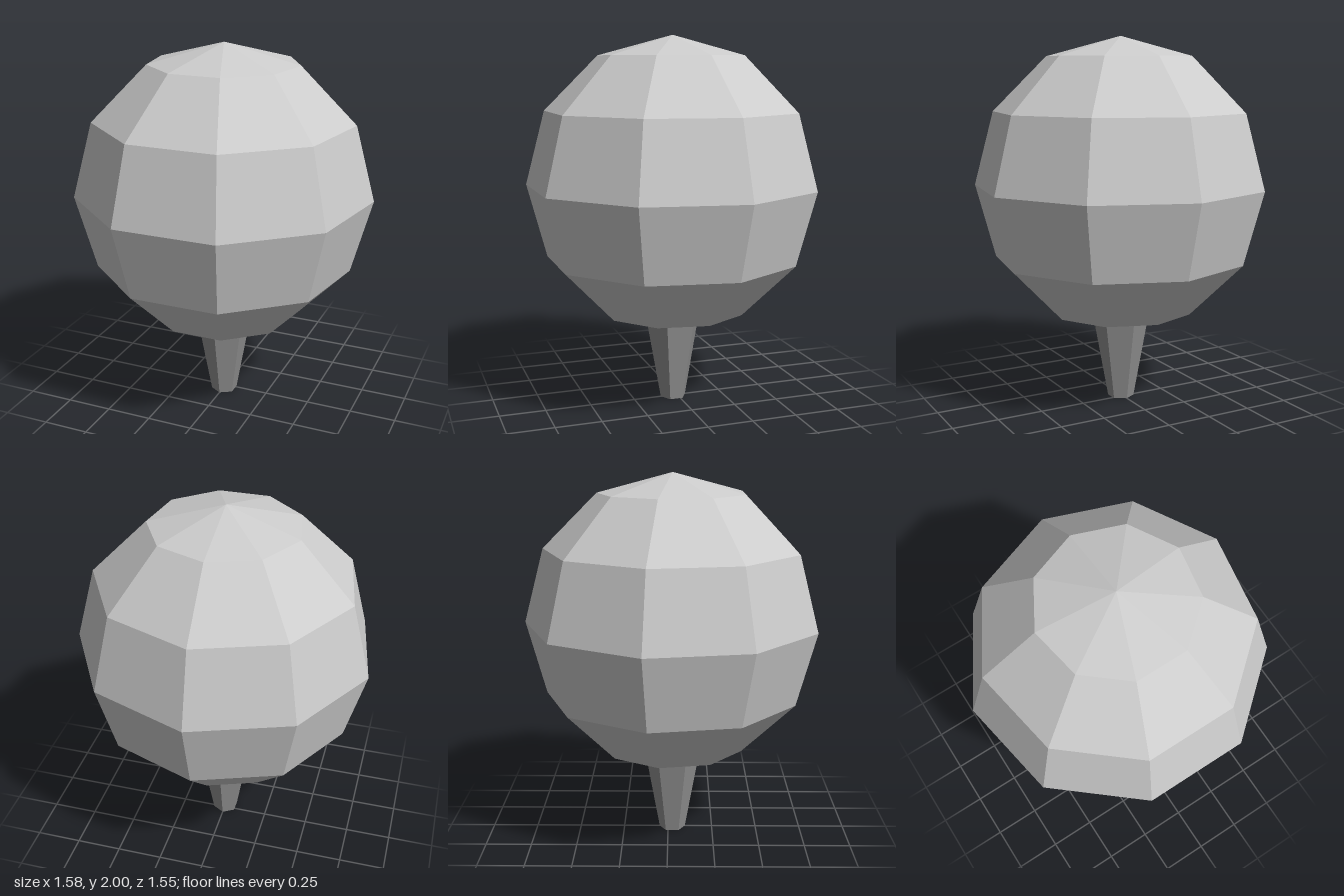
import * as THREE from 'three';

export function createModel() {
  const group = new THREE.Group();
  const crownGrey = new THREE.MeshStandardMaterial({ name: 'light grey', color: 0xcccccc, flatShading: true });
  const trunkGrey = new THREE.MeshStandardMaterial({ name: 'mid grey', color: 0x929292, flatShading: true });
  const centreZ = 0.024;

  // Nine-sided ball crown, one corner pointing to the back
  const crown = new THREE.Mesh(new THREE.SphereGeometry(0.8, 9, 6), crownGrey);
  crown.name = 'crown';
  crown.rotation.y = Math.PI / 2; // turns the -x seam to +z
  crown.rotation.y += Math.PI; // and on to -z
  crown.position.set(0, 1.2, centreZ);
  group.add(crown);

  // Six-sided trunk, narrower at the foot, reaching into the crown
  const height = 0.55;
  const trunk = new THREE.Mesh(new THREE.CylinderGeometry(0.17, 0.072, height, 6), trunkGrey);
  trunk.name = 'trunk';
  trunk.position.set(0, height / 2, centreZ);
  group.add(trunk);

  return group;
}
